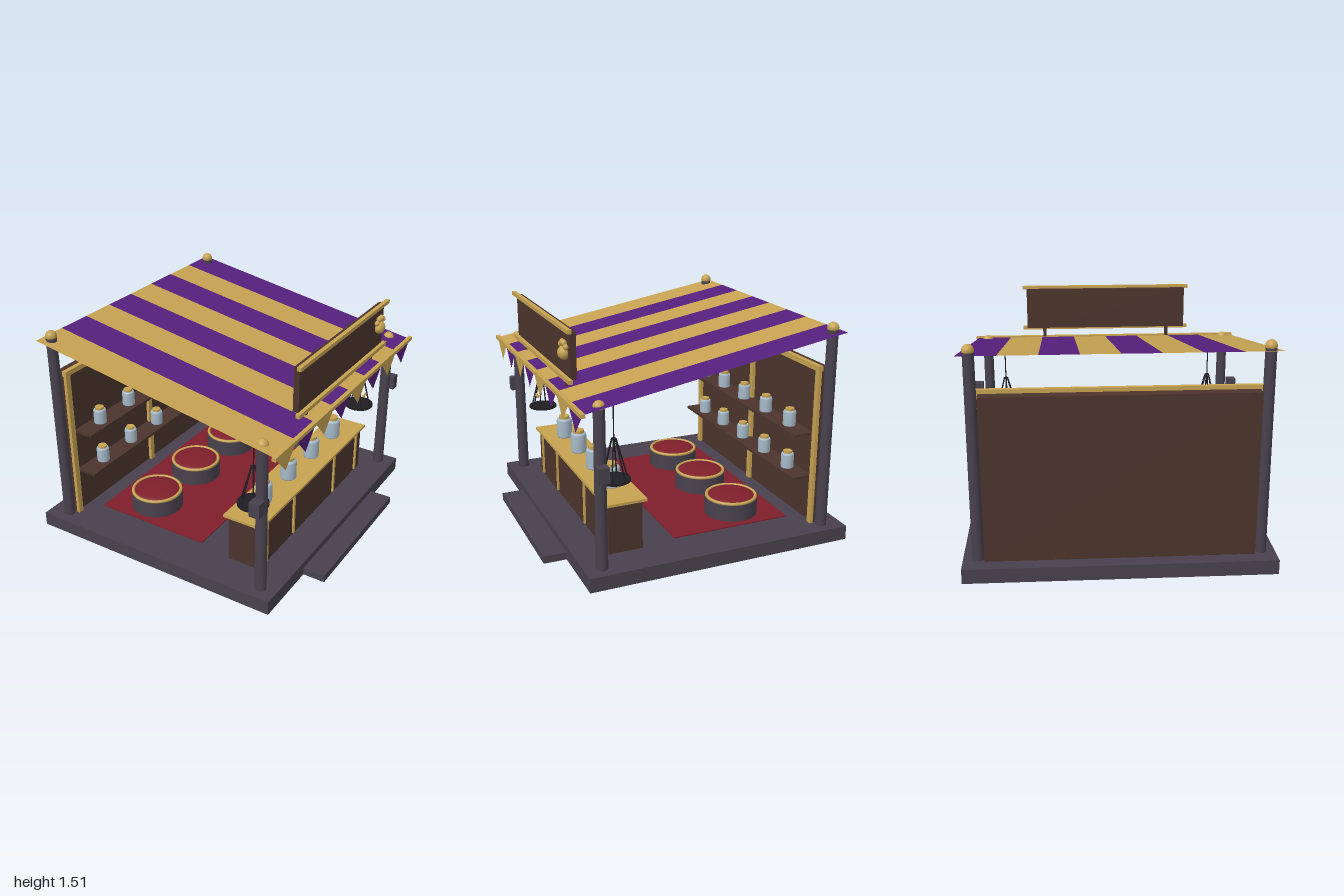
import * as THREE from 'three';

const mat = (name, color, side = THREE.FrontSide) => {
  const m = new THREE.MeshStandardMaterial({ color, side });
  m.name = name;
  return m;
};

export function createModel() {
  const root = new THREE.Group();
  root.name = 'marketStall';
  const D = THREE.DoubleSide;
  const stone = mat('charcoal', 0x48414d);
  const wood = mat('darkWood', 0x4b342c);
  const gold = mat('gold', 0xc6a252, D);
  const purple = mat('purple', 0x55207c, D);
  const red = mat('crimson', 0x7e1f2b);
  const glass = mat('paleGlass', 0xa6bac9);
  const iron = mat('blackIron', 0x1f1d22);

  const add = (name, geo, material, x = 0, y = 0, z = 0, parent = root) => {
    const m = new THREE.Mesh(geo, material);
    m.name = name;
    m.position.set(x, y, z);
    parent.add(m);
    return m;
  };
  // box given by its minimum and maximum on every axis
  const box = (name, material, x0, x1, y0, y1, z0, z1, parent) =>
    add(name, new THREE.BoxGeometry(x1 - x0, y1 - y0, z1 - z0), material,
      (x0 + x1) / 2, (y0 + y1) / 2, (z0 + z1) / 2, parent);
  const group = (name, x, y, z) => {
    const g = new THREE.Group();
    g.name = name;
    g.position.set(x, y, z);
    root.add(g);
    return g;
  };
  // flat polygon with explicit corners
  const sheet = (name, material, pts) => {
    const g = new THREE.BufferGeometry();
    g.setAttribute('position', new THREE.Float32BufferAttribute(pts.flat(), 3));
    g.setIndex(pts.length === 4 ? [0, 1, 2, 0, 2, 3] : [0, 1, 2]);
    g.computeVertexNormals();
    return add(name, g, material);
  };

  // Floor, step and rug
  box('platform', stone, -0.97, 0.82, 0, 0.095, -0.98, 0.98);
  box('step', stone, 0.82, 0.97, 0, 0.05, -0.525, 0.525);
  box('rug', red, -0.68, 0.15, 0.095, 0.101, -0.7, 0.7);

  // Corner posts with gold finials, and side lamps
  for (const s of [-1, 1]) {
    for (const [x, top, name] of [[-0.83, 1.42, 'back'], [0.71, 1.11, 'front']]) {
      add(name + 'Post', new THREE.CylinderGeometry(0.035, 0.038, top - 0.095, 20), stone,
        x, (top + 0.095) / 2, s * 0.885);
      add(name + 'Finial', new THREE.SphereGeometry(0.037, 20, 14), gold, x, top + 0.01, s * 0.885);
    }
    box('sideLamp', stone, 0.69, 0.76, 0.69, 0.787, s * 0.968 - 0.032, s * 0.968 + 0.032);
  }

  // Back wall with gold battens and rail
  box('backWall', wood, -0.872, -0.79, 0.095, 1.155, -0.845, 0.845);
  for (const z of [-0.835, 0, 0.835])
    box('wallBatten', gold, -0.79, -0.767, 0.095, 1.15, z - 0.02, z + 0.02);
  box('wallRail', gold, -0.795, -0.763, 1.145, 1.18, -0.86, 0.86);

  // Glass jars with gold lids
  const jar = (x, y, z, r, h) => {
    const g = group('jar', x, y, z);
    const p = [[0, 0], [0.92, 0], [1, 0.06], [1, 0.88], [0.93, 0.97], [0.72, 1], [0, 1]];
    add('jarBody', new THREE.LatheGeometry(
      p.map(([a, b]) => new THREE.Vector2(a * r, b * h)), 20), glass, 0, 0, 0, g);
    add('jarLid', new THREE.CylinderGeometry(r * 0.7, r * 0.7, h * 0.17, 20), gold, 0, h * 1.06, 0, g);
  };

  // Shelves
  for (const y of [0.405, 0.705]) {
    box('shelf', wood, -0.79, -0.645, y, y + 0.017, -0.805, 0.805);
    for (let i = -2; i <= 2; i++) jar(-0.715, y + 0.017, i * 0.311, 0.043, 0.105);
  }

  // Counter
  box('counter', wood, 0.385, 0.61, 0.095, 0.42, -0.738, 0.738);
  box('counterTop', gold, 0.36, 0.635, 0.42, 0.438, -0.76, 0.76);
  for (const z of [-0.65, -0.294, 0.294, 0.65])
    box('counterBatten', gold, 0.61, 0.623, 0.11, 0.405, z - 0.009, z + 0.009);
  for (let i = 0; i < 4; i++) jar(0.495, 0.438, (i - 1.5) * 0.325, 0.055, 0.14);

  // Round seats
  for (const z of [-0.48, 0, 0.48]) {
    const g = group('seat', -0.37, 0.095, z);
    add('seatBase', new THREE.CylinderGeometry(0.178, 0.178, 0.12, 32), stone, 0, 0.06, 0, g);
    add('seatPiping', new THREE.TorusGeometry(0.166, 0.011, 10, 40), gold, 0, 0.127, 0, g).rotation.x = Math.PI / 2;
    add('seatCushion', new THREE.SphereGeometry(0.162, 32, 10, 0, Math.PI * 2, 0, Math.PI / 2), red, 0, 0.12, 0, g)
      .scale.y = 0.21;
  }

  // Striped canopy and pennants, one pair per stripe
  for (let i = 0; i < 8; i++) {
    const z = -0.96 + i * 0.24, e = z + 0.24, m = i % 2 ? gold : purple;
    sheet('canopyStripe', m, [[-0.89, 1.41, z], [-0.89, 1.41, e], [0.83, 1.108, e], [0.83, 1.108, z]]);
    sheet('pennant', m, [[0.837, 1.097, z], [0.837, 1.097, e], [0.837, 0.965, z + 0.12]].reverse());
  }
  box('canopyTrim', gold, 0.823, 0.85, 1.095, 1.119, -0.98, 0.98);

  // Sign board with trims, supports and a paw ornament
  box('signBoard', wood, 0.737, 0.775, 1.2, 1.49, -0.588, 0.588);
  for (const y of [1.181, 1.484])
    box('signTrim', gold, 0.773, 0.8, y, y + 0.025, -0.62, 0.62);
  for (const z of [-0.46, 0.46])
    box('signSupport', wood, 0.745, 0.766, 1.13, 1.2, z - 0.012, z + 0.012);
  const pads = [[1.348, 0, 0.042, 0.047], [1.392, 0.047, 0.019, 0.019], [1.41, 0.018, 0.021, 0.019],
    [1.41, -0.018, 0.021, 0.019], [1.392, -0.047, 0.019, 0.019]];
  for (const [y, dz, ry, rz] of pads)
    add('pawPad', new THREE.SphereGeometry(1, 18, 12), gold, 0.79, y, -0.505 + dz)
      .scale.set(ry * 0.85, ry, rz);

  // Hanging cages: rod, cap, slanted bars, floor disc and two beads
  for (const s of [-1, 1]) {
    const g = group('hangingCage', 0.575, 0, s * 0.755);
    add('cageRod', new THREE.CylinderGeometry(0.004, 0.004, 0.22, 8), iron, 0, 0.97, 0, g);
    add('cageCap', new THREE.CylinderGeometry(0.016, 0.016, 0.01, 16), iron, 0, 0.86, 0, g);
    add('cageFloor', new THREE.CylinderGeometry(0.1, 0.1, 0.014, 24), iron, 0, 0.602, 0, g);
    for (let i = 0; i < 6; i++) {
      const a = i * Math.PI / 3, c = Math.cos(a), d = Math.sin(a);
      const path = new THREE.LineCurve3(
        new THREE.Vector3(c * 0.014, 0.86, d * 0.014), new THREE.Vector3(c * 0.085, 0.605, d * 0.085));
      add('cageBar', new THREE.TubeGeometry(path, 1, 0.005, 8), iron, 0, 0, 0, g);
    }
    for (const z of [-0.019, 0.019])
      add('cageBead', new THREE.SphereGeometry(0.012, 12, 8), gold, 0.041, 0.685, z, g);
  }
  return root;
}
